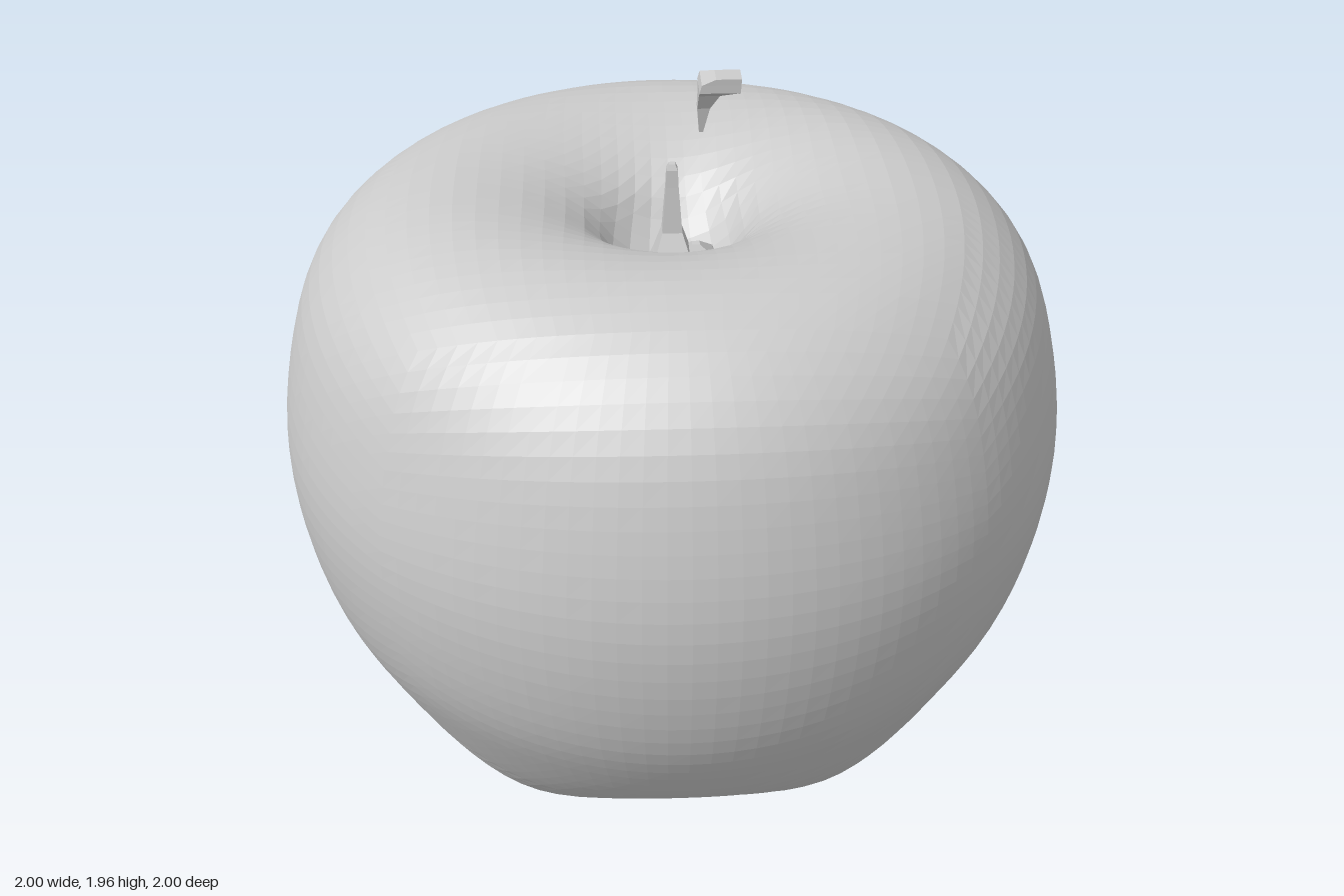
import * as THREE from 'three';

const material = new THREE.MeshStandardMaterial({ color: 0xcccccc, flatShading: true });

// Half outline of the fruit (radius, height), from the bottom centre to the bottom of the top hollow
const outline = new THREE.CatmullRomCurve3([
  [0, 0.03], [0.2, 0.012], [0.42, 0.0], [0.55, 0.035], [0.65, 0.11], [0.73, 0.21],
  [0.84, 0.4], [0.935, 0.6], [0.985, 0.8], [1, 1.0], [0.975, 1.2], [0.915, 1.4],
  [0.84, 1.51], [0.72, 1.6], [0.57, 1.64], [0.42, 1.63], [0.3, 1.59], [0.21, 1.53],
  [0.14, 1.44], [0.08, 1.395], [0, 1.38],
].map(([r, y]) => new THREE.Vector3(r, y, 0)));
outline.arcLengthDivisions = 600;

// Square-grid ball wrapped onto the outline, with four lobes underneath
function fruitGeometry() {
  const geometry = new THREE.BoxGeometry(2, 2, 2, 28, 28, 28);
  const pos = geometry.attributes.position;
  const v = new THREE.Vector3();
  const even = (a) => Math.tan(a * Math.PI / 4);
  for (let i = 0; i < pos.count; i++) {
    v.fromBufferAttribute(pos, i);
    v.set(even(v.x), even(v.y), even(v.z)).normalize();
    const angle = Math.atan2(v.z, v.x);
    const t = 1 - Math.acos(THREE.MathUtils.clamp(v.y, -1, 1)) / Math.PI;
    const p = outline.getPointAt(THREE.MathUtils.clamp(t, 0, 1));
    let r = p.x, y = p.y;
    if (y < 0.8) {
      // Grooves along the x and z axes between the lobes
      const groove = 0.5 + 0.5 * Math.cos(4 * angle);
      const band = Math.exp(-(((r - 0.57) / 0.19) ** 2));
      y += 0.085 * groove * band;
      r -= 0.03 * groove * band;
    }
    pos.setXYZ(i, r * Math.cos(angle), y, r * Math.sin(angle));
  }
  geometry.computeVertexNormals();
  return geometry;
}

// Four-sided loft through level sections [height, centre x, centre z, half width]
function squareLoft(sections) {
  const rows = sections.length - 1;
  const geometry = new THREE.CylinderGeometry(Math.SQRT2, Math.SQRT2, 1, 4, rows);
  geometry.rotateY(Math.PI / 4);
  const pos = geometry.attributes.position;
  for (let i = 0; i < pos.count; i++) {
    const [y, cx, cz, h] = sections[Math.round((pos.getY(i) + 0.5) * rows)];
    pos.setXYZ(i, cx + h * pos.getX(i), y, cz + h * pos.getZ(i));
  }
  geometry.computeVertexNormals();
  return geometry;
}

export function createModel() {
  const group = new THREE.Group();
  const add = (name, geometry) => {
    const mesh = new THREE.Mesh(geometry, material);
    mesh.name = name;
    group.add(mesh);
  };

  add('fruitBody', fruitGeometry());

  // Short stem with a flared foot
  add('lowerStem', squareLoft([
    [1.37, 0.01, 0.02, 0.08], [1.44, 0, 0.01, 0.045], [1.5, 0, 0, 0.025],
    [1.62, 0, 0, 0.016], [1.665, 0, 0, 0.014], [1.68, 0, 0, 0.008],
  ]));

  // Splinter beside the foot
  add('stemSplinter', squareLoft([
    [1.37, 0.07, -0.02, 0.05], [1.43, 0.07, -0.01, 0.035], [1.46, 0.06, 0, 0.01],
  ]));

  // Detached stem tip, bent and widening to a blunt end
  add('stemTip', squareLoft([
    [1.795, 0.066, 0.07, 0.005], [1.86, 0.071, 0.073, 0.015], [1.9, 0.083, 0.083, 0.025],
    [1.925, 0.105, 0.105, 0.048], [1.945, 0.108, 0.108, 0.046], [1.96, 0.125, 0.125, 0.03],
  ]));

  return group;
}
